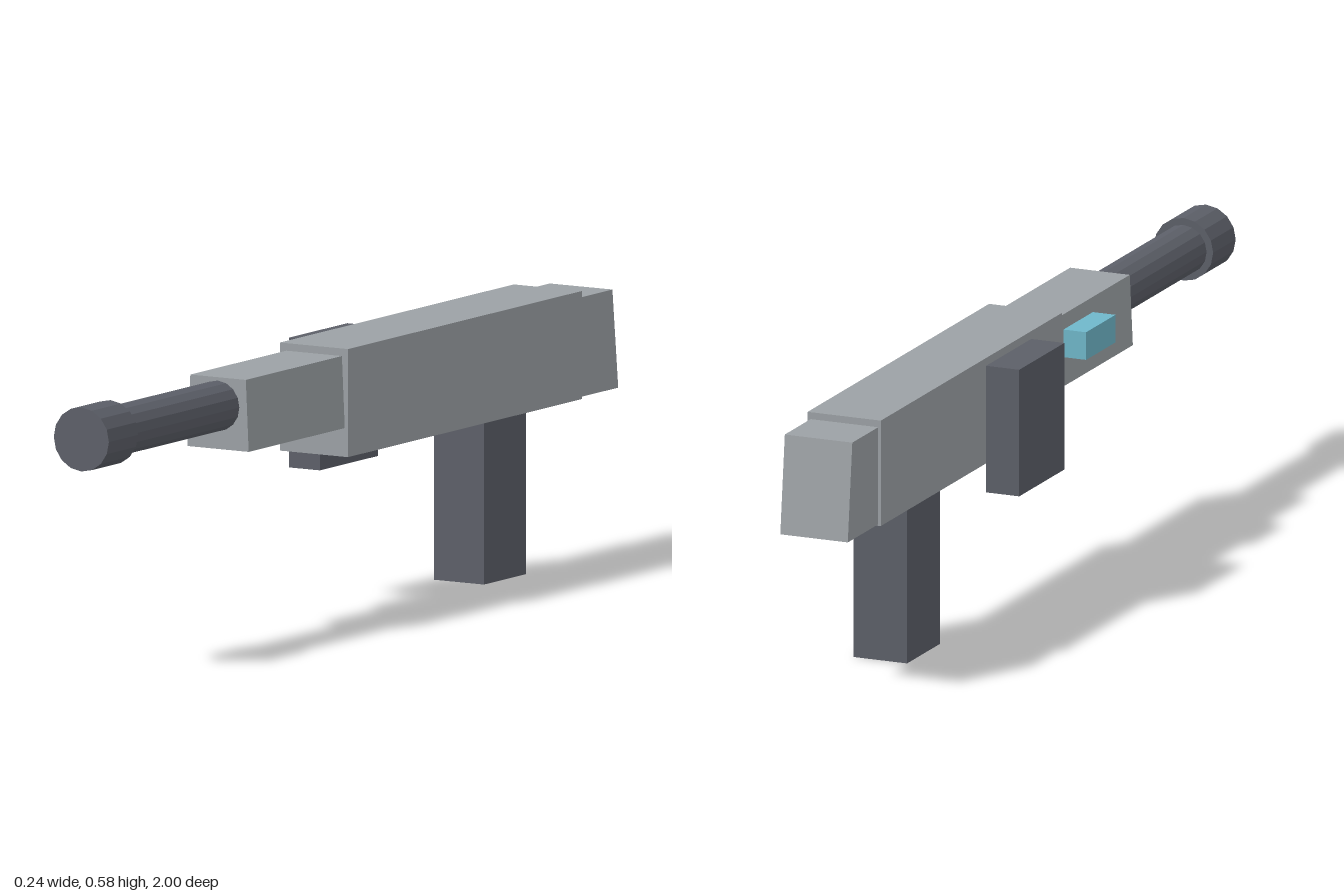
import * as THREE from 'three';

const mat = (name, color) => {
  const m = new THREE.MeshStandardMaterial({ color, flatShading: true });
  m.name = name;
  return m;
};

export function createModel() {
  const grey = mat('lightGrey', 0x9ca1a5);
  const dark = mat('darkGrey', 0x5c5f68);
  const blue = mat('paleBlue', 0x6fb7ca);

  const group = new THREE.Group();
  group.name = 'blaster';

  const add = (name, geometry, material) => {
    const mesh = new THREE.Mesh(geometry, material);
    mesh.name = name;
    group.add(mesh);
    return mesh;
  };

  // Box from its limits; topInset narrows the top in x, backLean pulls the upper rear edge forward
  const block = (name, material, [x0, x1], [y0, y1], [z0, z1], topInset = 0, backLean = 0) => {
    const g = new THREE.BoxGeometry(x1 - x0, y1 - y0, z1 - z0);
    const p = g.attributes.position;
    for (let i = 0; i < p.count; i++) {
      if (p.getY(i) < 0) continue;
      p.setX(i, p.getX(i) - Math.sign(p.getX(i)) * topInset);
      if (p.getZ(i) < 0) p.setZ(i, p.getZ(i) + backLean);
    }
    g.translate((x0 + x1) / 2, (y0 + y1) / 2, (z0 + z1) / 2);
    g.computeVertexNormals();
    return add(name, g, material);
  };

  // Sixteen-sided cylinder along z on the bore axis
  const tube = (name, radius, z0, z1) => {
    const g = new THREE.CylinderGeometry(radius, radius, z1 - z0, 16);
    g.rotateX(Math.PI / 2);
    g.translate(0.037, 0.501, (z0 + z1) / 2);
    return add(name, g, dark);
  };

  // Housing
  block('receiver', grey, [-0.047, 0.121], [0.348, 0.577], [-0.845, 0.08]);
  block('rearCap', grey, [-0.041, 0.114], [0.351, 0.562], [-1, -0.845], 0, 0.023);
  block('foreEnd', grey, [-0.038, 0.113], [0.409, 0.561], [0.08, 0.46], 0.007);

  // Barrel
  tube('barrel', 0.053, 0.46, 0.89);
  tube('muzzle', 0.068, 0.885, 1);

  // Grip, side magazine and side light
  block('grip', dark, [-0.024, 0.099], [0, 0.348], [-0.66, -0.493]);
  block('sideMagazine', dark, [-0.123, -0.047], [0.285, 0.56], [-0.308, -0.078]);
  block('sideLight', blue, [-0.086, -0.034], [0.47, 0.53], [0.115, 0.265]);

  return group;
}
